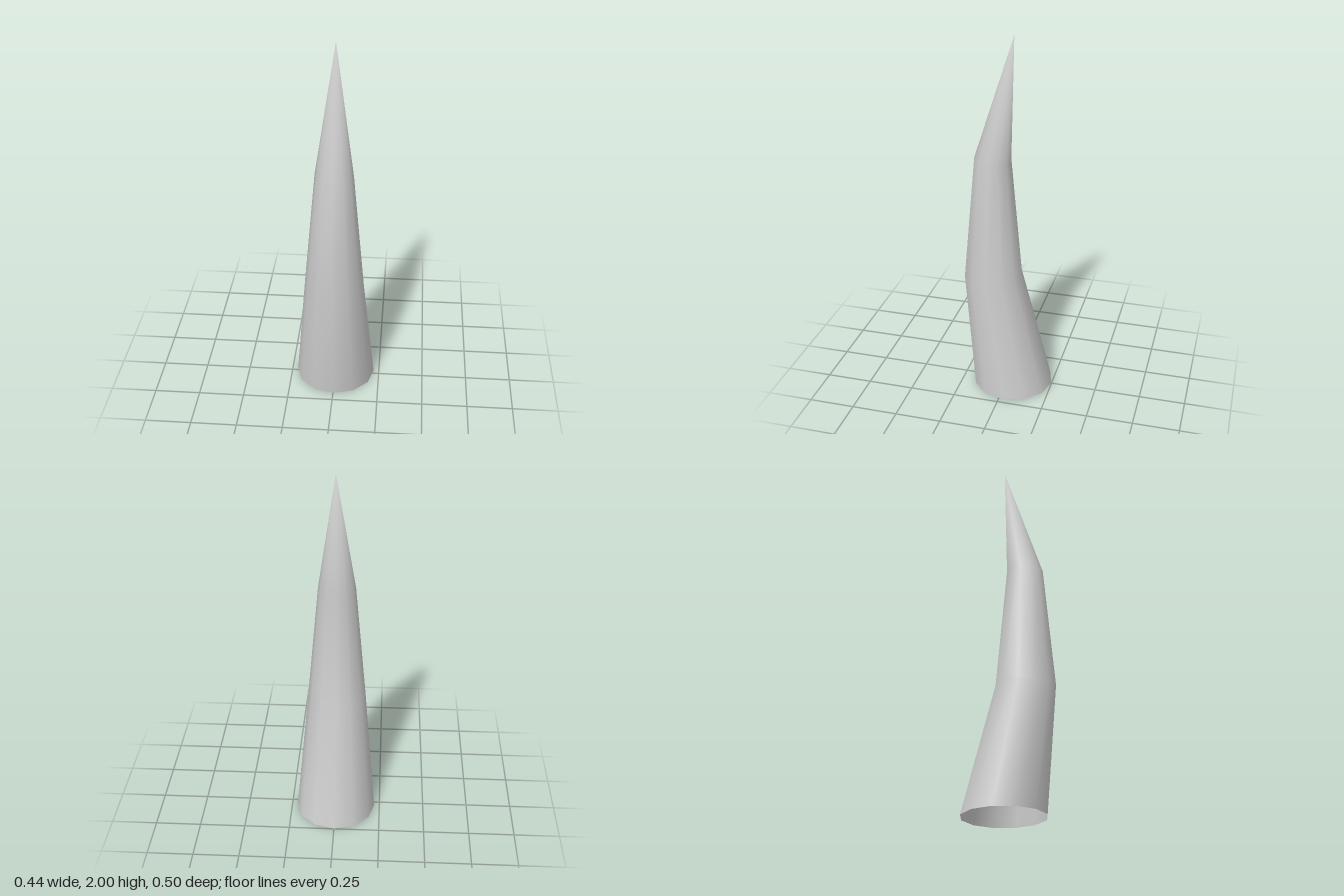
import * as THREE from 'three';

// Horn: horizontal 12-sided rings along a bowed centre line, closed by one apex point
const SIDES = 12;
const RINGS = [
  { y: 0, z: -0.0275, r: 0.22 },
  { y: 0.667, z: 0.0875, r: 0.16 },
  { y: 1.333, z: 0.0875, r: 0.1 },
];
const TIP = [0, 2, -0.0275];

function hornGeometry() {
  const positions = [];
  const index = [];
  for (const { y, z, r } of RINGS) {
    for (let i = 0; i < SIDES; i++) {
      const a = (i / SIDES) * Math.PI * 2;
      positions.push(Math.sin(a) * r, y, z + Math.cos(a) * r);
    }
  }
  const apex = positions.length / 3;
  positions.push(...TIP);

  for (let k = 0; k < RINGS.length; k++) {
    for (let i = 0; i < SIDES; i++) {
      const j = (i + 1) % SIDES;
      const a = k * SIDES + i;
      const b = k * SIDES + j;
      if (k === RINGS.length - 1) index.push(a, b, apex);
      else index.push(a, b, b + SIDES, a, b + SIDES, a + SIDES);
    }
  }

  const geometry = new THREE.BufferGeometry();
  geometry.setAttribute('position', new THREE.Float32BufferAttribute(positions, 3));
  geometry.setIndex(index);
  geometry.computeVertexNormals();
  return geometry;
}

export function createModel() {
  const group = new THREE.Group();
  group.name = 'curvedHorn';
  // The base is open, so the inside wall shows too
  const material = new THREE.MeshStandardMaterial({ color: 0xcccccc, side: THREE.DoubleSide });
  const horn = new THREE.Mesh(hornGeometry(), material);
  horn.name = 'horn';
  group.add(horn);
  return group;
}
